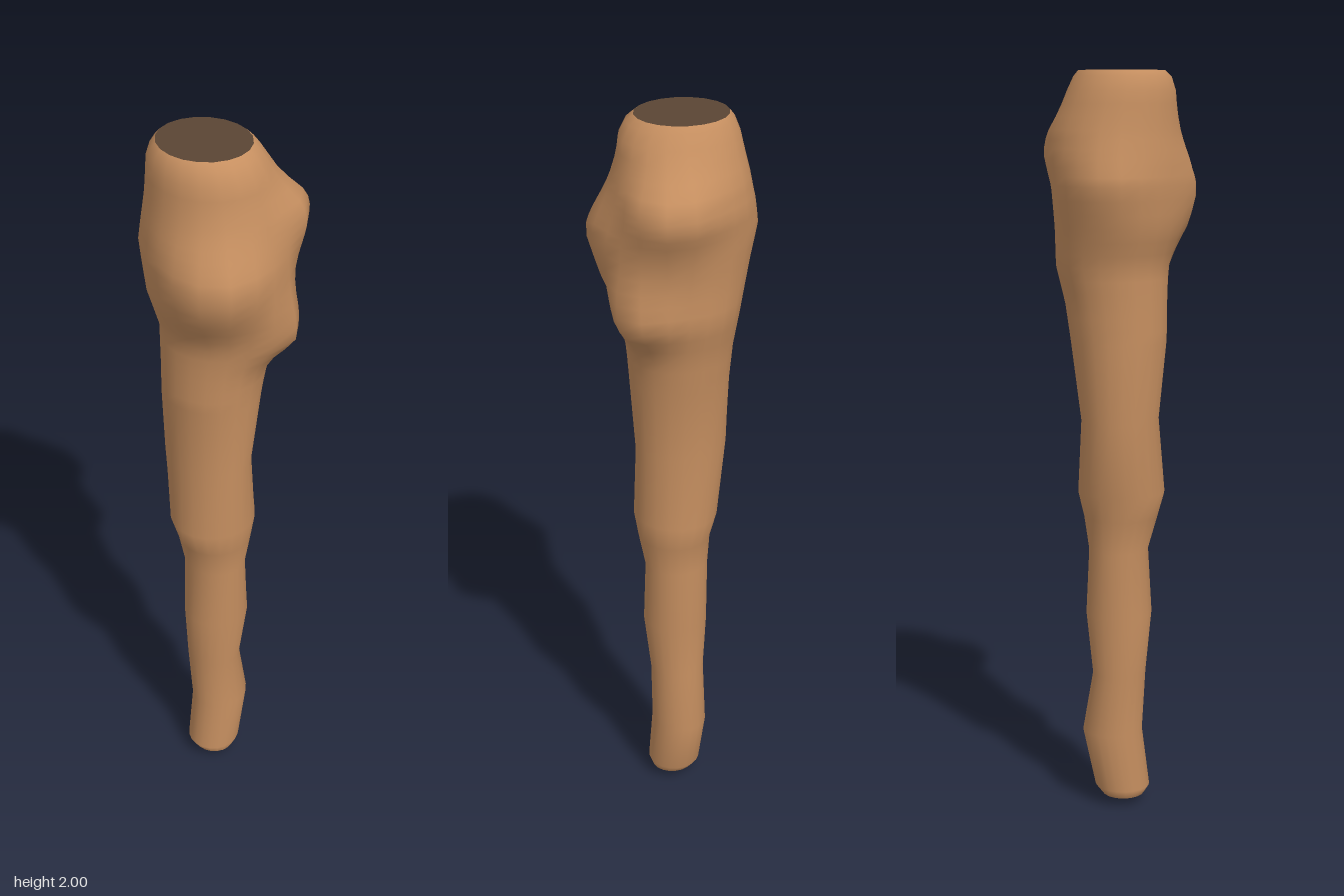
import * as THREE from 'three';

const SIDES = 20;

// Trunk sections: y, xMin, xMax, zMin, zMax
const SECTIONS = [
  [0.025, -0.075, 0.04, -0.05, 0.07],
  [0.05, -0.09, 0.06, -0.065, 0.08],
  [0.21, -0.07, 0.095, -0.07, 0.08],
  [0.38, -0.08, 0.065, -0.075, 0.075],
  [0.55, -0.095, 0.085, -0.08, 0.095],
  [0.73, -0.085, 0.075, -0.085, 0.09],
  [0.82, -0.11, 0.09, -0.09, 0.105],
  [0.89, -0.13, 0.105, -0.11, 0.115],
  [1.09, -0.115, 0.09, -0.14, 0.11],
  [1.3, -0.135, 0.12, -0.14, 0.125],
  [1.4, -0.135, 0.135, -0.145, 0.135],
  [1.5, -0.135, 0.16, -0.155, 0.15],
  [1.6, -0.16, 0.16, -0.18, 0.16],
  [1.71, -0.165, 0.165, -0.2, 0.165],
  [1.78, -0.165, 0.175, -0.19, 0.16],
  [1.85, -0.16, 0.165, -0.18, 0.155],
  [1.95, -0.155, 0.125, -0.165, 0.14],
  [1.985, -0.145, 0.108, -0.152, 0.12],
  [2, -0.13, 0.095, -0.14, 0.1],
];

// Knots: direction x, z, height, amount, angular spread, spread above, spread below
const KNOTS = [
  [-0.16, 0.17, 1.69, 0.075, 0.5, 0.09, 0.09],
  [0.19, 0.15, 1.81, 0.07, 0.4, 0.06, 0.09],
  [0.085, 0.2, 1.51, 0.065, 0.36, 0.11, 0.05],
  [-0.02, -0.22, 1.71, 0.02, 0.3, 0.08, 0.08],
];

function ringPoint([y, x0, x1, z0, z1], i) {
  const a = (i / SIDES) * Math.PI * 2;
  let bulge = 0;
  for (const [kx, kz, ky, amount, spread, above, below] of KNOTS) {
    const d = a - Math.atan2(kz, kx);
    const da = Math.atan2(Math.sin(d), Math.cos(d)) / spread;
    const dy = (y - ky) / (y > ky ? above : below);
    bulge += amount * Math.exp(-0.5 * (da * da + dy * dy));
  }
  return [
    (x0 + x1) / 2 + Math.cos(a) * ((x1 - x0) / 2 + bulge),
    y,
    (z0 + z1) / 2 + Math.sin(a) * ((z1 - z0) / 2 + bulge),
  ];
}

// Closed loft through a list of sections, ordered upward
function loft(rows) {
  const pos = [], index = [];
  rows.forEach((row, r) => {
    for (let i = 0; i < SIDES; i++) {
      pos.push(...ringPoint(row, i));
      if (r === 0) continue;
      const j = (i + 1) % SIDES, lo = (r - 1) * SIDES, hi = r * SIDES;
      index.push(lo + i, hi + i, lo + j, hi + i, hi + j, lo + j);
    }
  });
  const geo = new THREE.BufferGeometry();
  geo.setAttribute('position', new THREE.Float32BufferAttribute(pos, 3));
  geo.setIndex(index);
  geo.computeVertexNormals();
  return geo;
}

// Fan closing one section, with its middle at height tipY
function cap(row, tipY, up) {
  const pos = [(row[1] + row[2]) / 2, tipY, (row[3] + row[4]) / 2], index = [];
  for (let i = 0; i < SIDES; i++) {
    pos.push(...ringPoint(row, i));
    const a = 1 + i, b = 1 + ((i + 1) % SIDES);
    index.push(0, up ? b : a, up ? a : b);
  }
  const geo = new THREE.BufferGeometry();
  geo.setAttribute('position', new THREE.Float32BufferAttribute(pos, 3));
  geo.setIndex(index);
  geo.computeVertexNormals();
  return geo;
}

export function createModel() {
  const wood = new THREE.MeshStandardMaterial({ color: 0xc68f60 });
  wood.name = 'wood';
  const cutWood = new THREE.MeshStandardMaterial({ color: 0x5a4534 });
  cutWood.name = 'dark cut wood';

  // Extra rows between sections so the knots stay round
  const rows = [];
  SECTIONS.forEach((s, k) => {
    const next = SECTIONS[k + 1];
    const steps = next && s[0] >= 1.3 && s[0] < 1.95 ? 3 : 1;
    for (let t = 0; t < steps; t++) {
      rows.push(s.map((v, c) => (next ? v + ((next[c] - v) * t) / steps : v)));
    }
  });

  const group = new THREE.Group();
  group.name = 'woodenClub';
  const add = (name, geo, mat) => {
    const mesh = new THREE.Mesh(geo, mat);
    mesh.name = name;
    group.add(mesh);
  };
  add('knottedShaft', loft(rows), wood);
  add('topCut', cap(rows[rows.length - 1], 2, true), cutWood);
  add('bottomCut', cap(rows[0], 0, false), cutWood);
  return group;
}
